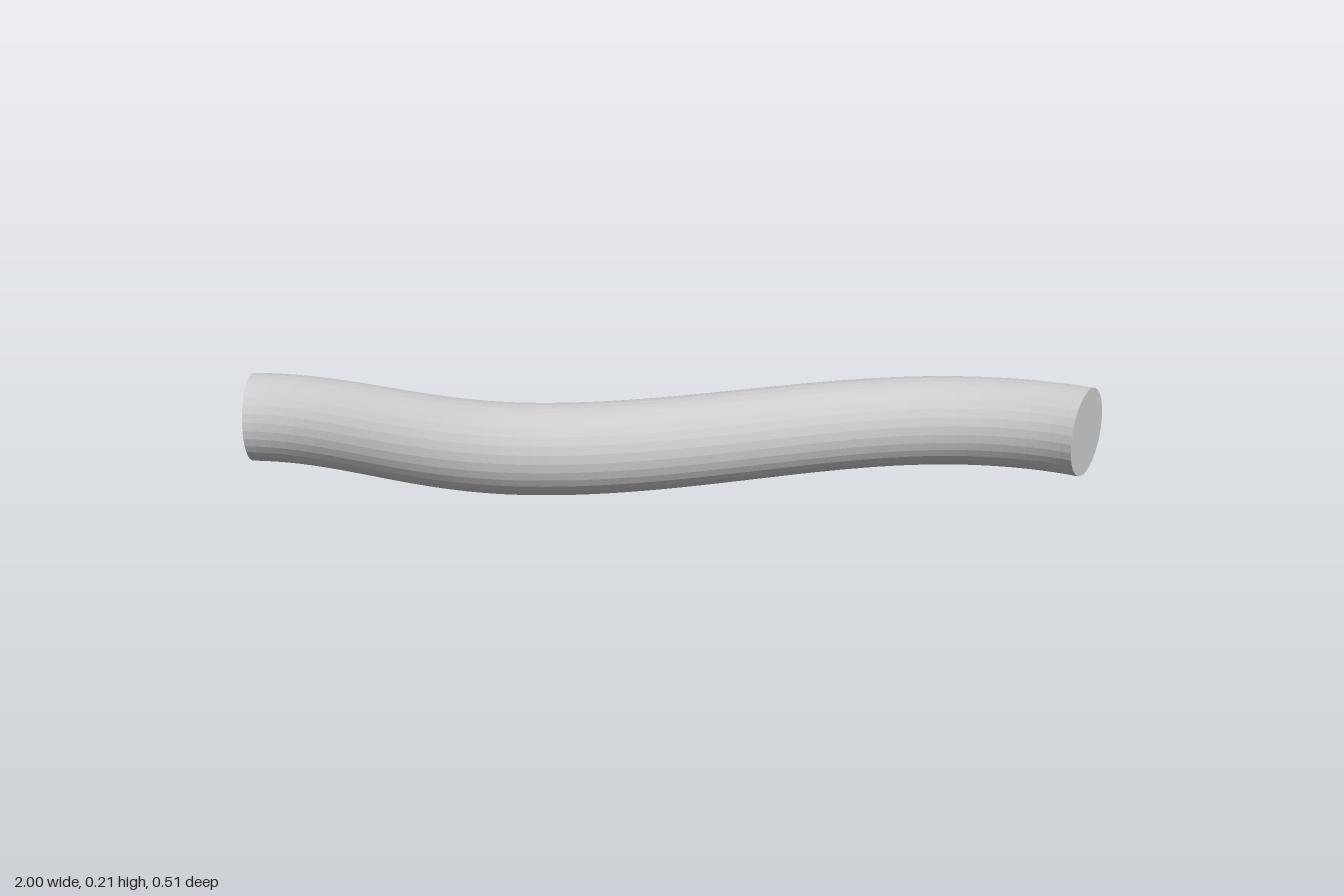
import * as THREE from 'three';

const RADIUS = 0.104;
const SIDES = 32;
const HEIGHT = 0.1045;

// Centreline stations: position (x, z), slope dz/dx, handle lengths before and after along x
const STATIONS = [
  { x: -0.992, z: 0.002, slope: -0.07, before: 0, after: 0.22 },
  { x: -0.34, z: 0.153, slope: 0, before: 0.24, after: 0.36 },
  { x: 0.70, z: -0.154, slope: 0, before: 0.36, after: 0.085 },
  { x: 0.954, z: -0.1, slope: 0.47, before: 0.085, after: 0 },
];

const pointAlong = (s, dx) => new THREE.Vector3(s.x + dx, HEIGHT, s.z + s.slope * dx);

export function createModel() {
  const group = new THREE.Group();
  const material = new THREE.MeshStandardMaterial({ color: 0xcccccc, flatShading: true });

  // Smooth S-shaped centreline lying in a horizontal plane
  const path = new THREE.CurvePath();
  for (let i = 0; i < STATIONS.length - 1; i++) {
    const a = STATIONS[i], b = STATIONS[i + 1];
    path.add(new THREE.CubicBezierCurve3(
      pointAlong(a, 0), pointAlong(a, a.after), pointAlong(b, -b.before), pointAlong(b, 0)));
  }

  // Curved rod
  const rod = new THREE.Mesh(new THREE.TubeGeometry(path, 64, RADIUS, SIDES, false), material);
  rod.name = 'curvedRod';
  group.add(rod);

  // Flat end caps, facing outward along the path
  for (const [name, t, sign] of [['rightEndCap', 0, -1], ['leftEndCap', 1, 1]]) {
    const cap = new THREE.Mesh(new THREE.CircleGeometry(RADIUS, SIDES), material);
    cap.name = name;
    cap.position.copy(path.getPointAt(t));
    cap.lookAt(path.getTangentAt(t).multiplyScalar(sign).add(cap.position));
    group.add(cap);
  }
  return group;
}
